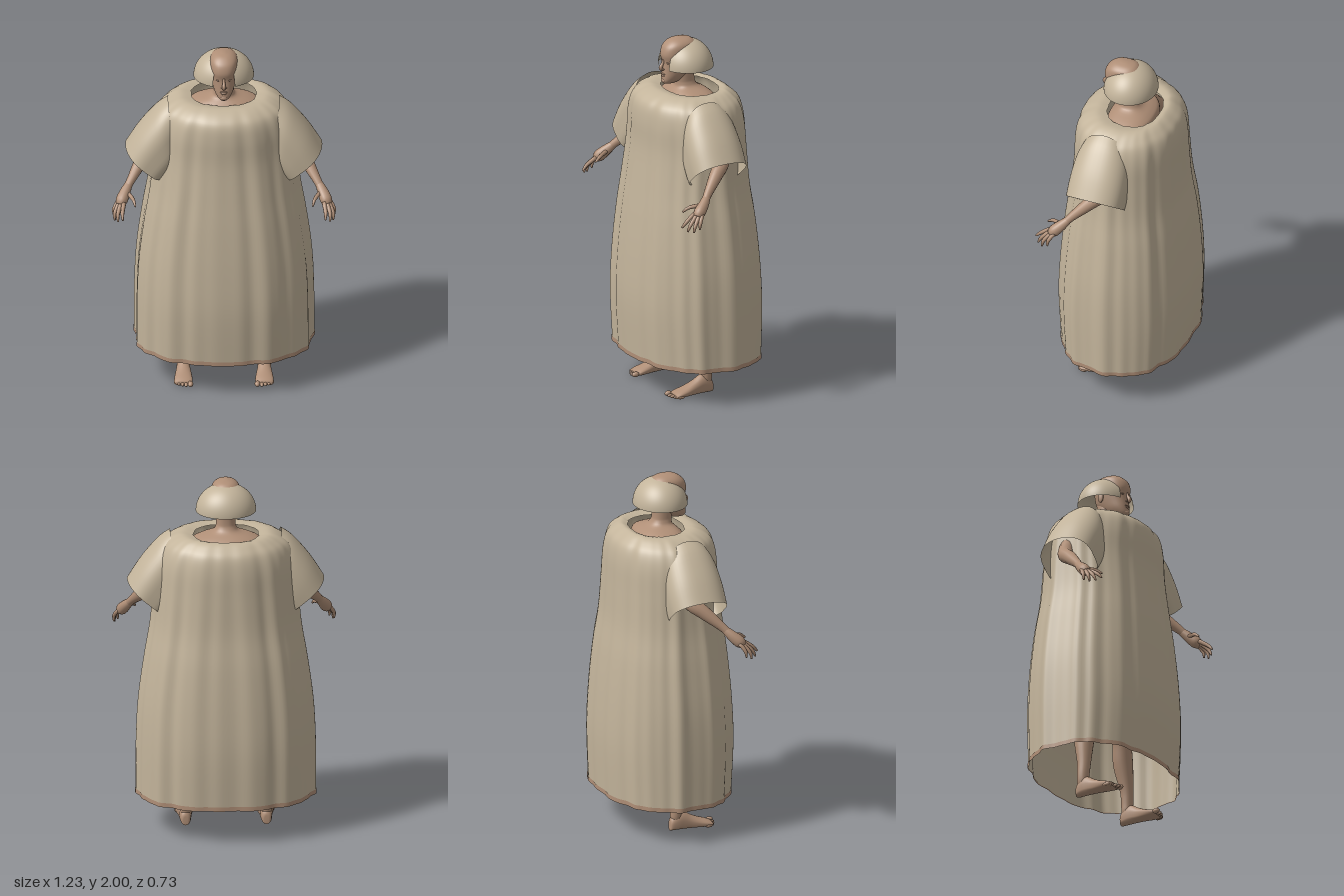
import * as THREE from 'three';

const V = (x, y, z) => new THREE.Vector3(x, y, z);
const spow = (v, p) => Math.sign(v) * Math.pow(Math.abs(v), p);
const cloth = new THREE.MeshStandardMaterial({ color: 0xc3b49b, side: THREE.DoubleSide });
cloth.name = 'linen cloth';
const skin = new THREE.MeshStandardMaterial({ color: 0xb08f77, side: THREE.DoubleSide });
skin.name = 'skin';

// Smooth surface through closed rings of points, with optional end caps
function loft(rings, caps = true) {
  const n = rings[0].length, pos = [], idx = [];
  rings.forEach(r => r.forEach(p => pos.push(p.x, p.y, p.z)));
  for (let i = 0; i < rings.length - 1; i++) for (let j = 0; j < n; j++) {
    const k = (j + 1) % n, a = i * n + j, b = i * n + k;
    idx.push(a, b, b + n, a, b + n, a + n);
  }
  if (caps) [0, rings.length - 1].forEach((ri, end) => {
    const c = V(0, 0, 0), ci = pos.length / 3;
    rings[ri].forEach(p => c.addScaledVector(p, 1 / n));
    pos.push(c.x, c.y, c.z);
    for (let j = 0; j < n; j++) {
      const a = ri * n + j, b = ri * n + (j + 1) % n;
      if (end) idx.push(a, b, ci); else idx.push(b, a, ci);
    }
  });
  const g = new THREE.BufferGeometry();
  g.setAttribute('position', new THREE.Float32BufferAttribute(pos, 3));
  g.setIndex(idx);
  g.computeVertexNormals();
  return g;
}

// Spline between table rows
function smooth(rows, steps) {
  const out = [], at = i => rows[Math.min(Math.max(i, 0), rows.length - 1)];
  for (let i = 0; i < rows.length - 1; i++) for (let s = 0; s < steps; s++) {
    const t = s / steps;
    out.push(rows[i].map((p1, c) => {
      const p0 = at(i - 1)[c], p2 = at(i + 1)[c], p3 = at(i + 2)[c];
      return p1 + 0.5 * t * (p2 - p0 + t * (2 * p0 - 5 * p1 + 4 * p2 - p3 + t * (3 * (p1 - p2) + p3 - p0)));
    }));
  }
  out.push(rows[rows.length - 1]);
  return out;
}

// Horizontal ring: half width, front z, back z, roundness exponent, optional ripple
function level([y, hx, zf, zb, e = 2.3], n = 36, ripple = () => 1) {
  return Array.from({ length: n }, (_, j) => {
    const a = j / n * Math.PI * 2, r = ripple(a, y);
    return V(spow(Math.cos(a), 2 / e) * hx * r, y, (zf + zb) / 2 - spow(Math.sin(a), 2 / e) * (zf - zb) / 2 * r);
  });
}

// Round limb along rows of [x, y, z, radius]
function limb(rows, n = 14, steps = 4) {
  const pts = smooth(rows, steps);
  return loft(pts.map((p, i) => {
    const a = pts[Math.max(i - 1, 0)], b = pts[Math.min(i + 1, pts.length - 1)];
    const d = V(b[0] - a[0], b[1] - a[1], b[2] - a[2]).normalize();
    const u = V(0, 0, 1).addScaledVector(d, -d.z).normalize(), v = d.clone().cross(u);
    return Array.from({ length: n }, (_, j) => {
      const t = j / n * Math.PI * 2;
      return V(p[0], p[1], p[2]).addScaledVector(u, Math.cos(t) * p[3]).addScaledVector(v, Math.sin(t) * p[3]);
    });
  }));
}

function ball(x, y, z, rx, ry, rz) {
  return new THREE.SphereGeometry(1, 16, 12).scale(rx, ry, rz).translate(x, y, z);
}

function mirrored(g) {
  const m = g.clone().scale(-1, 1, 1), ix = m.index.array;
  for (let i = 0; i < ix.length; i += 3) [ix[i], ix[i + 1]] = [ix[i + 1], ix[i]];
  m.computeVertexNormals();
  return m;
}

export function createModel() {
  const model = new THREE.Group();
  const add = (name, g, mat) => {
    const m = new THREE.Mesh(g, mat);
    m.name = name;
    model.add(m);
  };
  const pair = (name, g, mat) => {
    add('left ' + name, g, mat);
    add('right ' + name, mirrored(g), mat);
  };

  // Robe with hanging folds, open at hem and neck
  const folds = (a, y) => {
    const amp = 0.018 - 0.012 * Math.max(0, y - 1.2);
    return 1 + amp * (0.7 * Math.sin(11 * a + 0.5 + 0.2 * y) + 0.5 * Math.sin(17 * a + 1.3) + 0.35 * Math.sin(26 * a + y * 0.4));
  };
  const robeRows = [
    [0.2, 0.485, 0.343, -0.35, 2.3], [0.5, 0.484, 0.36, -0.362, 2.3], [0.75, 0.472, 0.352, -0.353, 2.3],
    [1.0, 0.44, 0.332, -0.332, 2.3], [1.2, 0.408, 0.31, -0.306, 2.25], [1.4, 0.392, 0.29, -0.296, 2.15],
    [1.55, 0.378, 0.288, -0.29, 2.1], [1.64, 0.348, 0.274, -0.272, 2.1], [1.685, 0.3, 0.235, -0.235, 2.2],
    [1.71, 0.24, 0.175, -0.195, 2.3], [1.702, 0.178, 0.122, -0.164, 2.3]];
  add('robe', loft(smooth(robeRows, 5).map(r => level(r, 160, folds)), false), cloth);

  // Narrow hem band
  const hem = [0.197, 0.222].map(y => level([y, 0.488, 0.347, -0.354, 2.3], 160, folds));
  add('hem band', loft(hem, false), skin);

  // Wide sleeves, round on top and square below: [top x, top y, bottom x, bottom y, half depth, centre z]
  const sleeveRows = [
    [0.305, 1.705, 0.255, 1.37, 0.135, 0.04], [0.37, 1.655, 0.28, 1.33, 0.155, 0.04],
    [0.465, 1.54, 0.315, 1.29, 0.162, 0.041], [0.54, 1.42, 0.345, 1.255, 0.16, 0.043]];
  const sleeve = loft(smooth(sleeveRows, 4).map(([tx, ty, bx, by, hz, cz]) =>
    Array.from({ length: 48 }, (_, j) => {
      const a = j / 48 * Math.PI * 2, p = Math.cos(a) < 0 ? 0.5 : 0.9, k = (1 + spow(Math.cos(a), p)) / 2;
      return V(bx + (tx - bx) * k, by + (ty - by) * k, cz + hz * spow(Math.sin(a), p));
    })), false);
  pair('sleeve', sleeve, cloth);

  // Body and neck
  const body = [
    [0.86, 0.12, 0.07, -0.09], [0.95, 0.175, 0.1, -0.12], [1.15, 0.135, 0.09, -0.09],
    [1.42, 0.17, 0.13, -0.12], [1.58, 0.2, 0.13, -0.135], [1.66, 0.195, 0.118, -0.135],
    [1.69, 0.15, 0.095, -0.11], [1.715, 0.075, 0.07, -0.065], [1.74, 0.056, 0.066, -0.045],
    [1.77, 0.053, 0.07, -0.04], [1.85, 0.053, 0.08, -0.04]];
  add('torso and neck', loft(smooth(body, 4).map(r => level(r))), skin);

  // Head and face
  const head = [
    [1.745, 0.022, 0.144, 0.07], [1.76, 0.038, 0.151, 0.04], [1.79, 0.054, 0.15, 0.0],
    [1.83, 0.064, 0.147, -0.04], [1.87, 0.071, 0.145, -0.05], [1.91, 0.076, 0.153, -0.055],
    [1.95, 0.076, 0.143, -0.055], [1.975, 0.066, 0.122, -0.04], [1.992, 0.042, 0.095, -0.015],
    [2.0, 0.01, 0.06, 0.03]];
  add('head', loft(smooth(head, 4).map(r => level(r))), skin);
  add('nose', limb([[0, 1.885, 0.141, 0.007], [0, 1.86, 0.15, 0.008], [0, 1.838, 0.161, 0.011], [0, 1.824, 0.152, 0.009]]), skin);
  add('upper lip', ball(0, 1.801, 0.147, 0.021, 0.005, 0.008), skin);
  add('lower lip', ball(0, 1.791, 0.147, 0.017, 0.006, 0.008), skin);
  add('chin', ball(0, 1.762, 0.143, 0.02, 0.013, 0.012), skin);
  pair('nostril', ball(0.01, 1.828, 0.149, 0.006, 0.005, 0.008), skin);
  pair('eye', ball(0.03, 1.868, 0.132, 0.012, 0.006, 0.009), skin);
  pair('ear', ball(0.074, 1.86, 0.02, 0.008, 0.032, 0.018), skin);

  // Dome headpiece, open over the face
  const gap = 0.37;
  const dome = new THREE.SphereGeometry(1, 56, 18, Math.PI / 2 + gap, Math.PI * 2 - gap * 2, 0, Math.PI / 2)
    .scale(0.166, 0.153, 0.148).translate(0, 1.832, 0.004);
  add('dome headpiece', dome, cloth);

  // Arms and hands
  pair('arm', limb([
    [0.17, 1.62, -0.01, 0.055], [0.3, 1.51, -0.015, 0.05], [0.4, 1.395, 0.0, 0.042],
    [0.45, 1.335, 0.065, 0.038], [0.505, 1.262, 0.145, 0.025], [0.527, 1.23, 0.175, 0.022]]), skin);
  pair('palm', limb([
    [0.517, 1.245, 0.16, 0.02], [0.54, 1.21, 0.195, 0.029], [0.56, 1.175, 0.232, 0.033], [0.57, 1.155, 0.25, 0.022]]), skin);
  const fingers = [
    [0.548, 1.17, 0.26, 0.557, 1.135, 0.312, 0.555, 1.105, 0.34],
    [0.565, 1.165, 0.255, 0.582, 1.122, 0.3, 0.58, 1.085, 0.318],
    [0.575, 1.165, 0.243, 0.599, 1.118, 0.28, 0.598, 1.08, 0.288],
    [0.58, 1.17, 0.225, 0.603, 1.13, 0.25, 0.604, 1.094, 0.255],
    [0.528, 1.205, 0.205, 0.498, 1.193, 0.26, 0.486, 1.168, 0.298]];
  fingers.forEach((f, i) => pair(i < 4 ? 'finger ' + (i + 1) : 'thumb', limb([
    [f[0], f[1], f[2], 0.012], [f[3], f[4], f[5], 0.0105], [f[6], f[7], f[8], 0.005]], 8, 3), skin));

  // Legs
  pair('leg', limb([
    [0.085, 0.98, -0.01, 0.085], [0.11, 0.8, -0.005, 0.085], [0.15, 0.55, 0.0, 0.06],
    [0.172, 0.46, 0.0, 0.053], [0.195, 0.35, -0.008, 0.055], [0.215, 0.2, 0.003, 0.038],
    [0.222, 0.12, 0.002, 0.034], [0.222, 0.07, 0.0, 0.03], [0.222, 0.03, 0.0, 0.015]], 20), skin);

  // Feet: [z, half width, height, centre x]
  const foot = [
    [-0.037, 0.014, 0.05, 0.222], [-0.028, 0.026, 0.075, 0.222], [0.01, 0.033, 0.105, 0.222],
    [0.04, 0.035, 0.105, 0.222], [0.08, 0.038, 0.08, 0.222], [0.13, 0.046, 0.056, 0.222],
    [0.18, 0.051, 0.038, 0.222], [0.207, 0.045, 0.026, 0.222]];
  pair('foot', loft(smooth(foot, 3).map(([z, hx, h, cx]) => Array.from({ length: 20 }, (_, j) => {
    const a = j / 20 * Math.PI * 2, s = Math.sin(a);
    return V(cx + Math.cos(a) * hx, h / 2 + h / 2 * spow(s, s < 0 ? 0.5 : 1), z);
  }))), skin);
  for (let i = 0; i < 5; i++) {
    const r = i ? 0.0105 - i * 0.0004 : 0.015;
    pair('toe ' + (i + 1), ball(i ? 0.188 + i * 0.0195 : 0.183, r, 0.216 - i * i * 0.0022, r, r, 0.022), skin);
  }
  return model;
}
